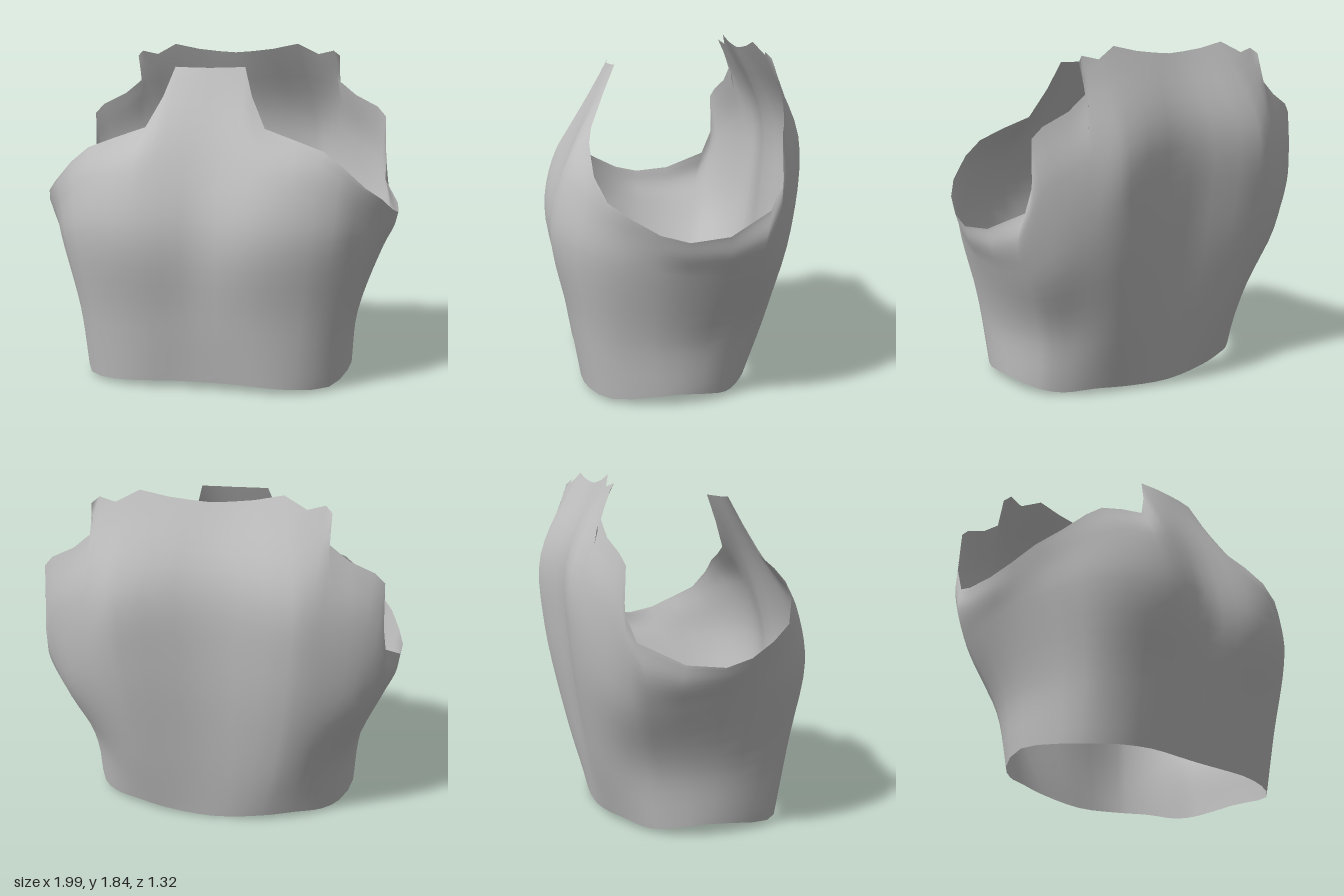
import * as THREE from 'three';

const V = (p) => new THREE.Vector3(...p);
const mirror = (p) => new THREE.Vector3(-p.x, p.y, p.z);

// Upper rim of the left half, from front centre past the armhole to back centre
const rim = [
  [0, 1.71, .31], [.1, 1.712, .305], [.19, 1.715, .29], [.24, 1.56, .36], [.32, 1.4, .43], [.48, 1.345, .455],
  [.63, 1.29, .46], [.73, 1.21, .455], [.84, 1.1, .4], [.92, 1.03, .29], [.97, .96, .16], [.995, .925, .02],
  [.985, .945, -.18], [.9, 1.05, -.4], [.895, 1.2, -.46], [.89, 1.42, -.45], [.84, 1.475, -.47], [.71, 1.54, -.5],
  [.6, 1.63, -.51], [.615, 1.77, -.46], [.58, 1.8, -.435], [.49, 1.78, -.455], [.37, 1.84, -.42], [.22, 1.81, -.42],
  [.1, 1.797, -.42], [0, 1.79, -.42],
].map(V);

// Rim columns at which the lower cross-sections are given
const keys = [0, 2, 4, 6, 8, 11, 13, 15, 18, 22, 25];

const hem = [[0, .04, .49], [.17, .04, .495], [.33, .035, .505], [.5, .025, .475], [.665, .02, .365], [.755, .06, .02],
  [.69, .03, -.19], [.6, .015, -.275], [.46, .03, -.365], [.27, .02, -.425], [0, 0, -.44]];
const waist = [[0, .4, .55], [.18, .4, .565], [.34, .4, .57], [.53, .4, .53], [.69, .38, .425], [.785, .36, .04],
  [.725, .36, -.245], [.645, .36, -.35], [.525, .38, -.46], [.36, .4, -.525], [0, .4, -.505]];
const chest = [[0, .85, .6], [.19, .85, .64], [.36, .85, .655], [.58, .85, .6], [.77, .8, .46], [.92, .74, .02],
  [.865, .7, -.335], [.79, .75, -.46], [.64, .85, -.565], [.43, .95, -.635], [0, .95, -.575]];
const shoulder = [[0, 1.25, .51], [.19, 1.25, .535], [.36, 1.18, .58], [.6, 1.14, .54], [.8, 1, .435], [.975, .85, .02],
  [.93, .9, -.37], [.86, 1.15, -.49], [.65, 1.3, -.588], [.45, 1.37, -.648], [0, 1.4, -.58]];

// Spread a keyed cross-section over all the columns, smooth across the centre line
function spread(section) {
  const points = section.map(V);
  const curve = new THREE.CatmullRomCurve3([mirror(points[1]), ...points, mirror(points.at(-2))]);
  return rim.map((_, i) => {
    let k = 0;
    while (k < keys.length - 2 && i >= keys[k + 1]) k++;
    const t = k + 1 + (i - keys[k]) / (keys[k + 1] - keys[k]);
    return curve.getPoint(t / (keys.length + 1));
  });
}

// Loft the sections up to the rim, mirrored to close the loop
function shellGeometry(rows = 20) {
  const sections = [...[hem, waist, chest, shoulder].map(spread), rim];
  const half = rim.map((_, i) => new THREE.CatmullRomCurve3(sections.map((s) => s[i])).getPoints(rows));
  const columns = [...half, ...half.slice(1, -1).reverse().map((column) => column.map(mirror))];
  const n = columns.length, index = [];
  for (let i = 0; i < n; i++) {
    for (let j = 0; j < rows; j++) {
      const a = i * (rows + 1) + j, b = ((i + 1) % n) * (rows + 1) + j;
      index.push(a, b, b + 1, a, b + 1, a + 1);
    }
  }
  const geometry = new THREE.BufferGeometry().setFromPoints(columns.flat());
  geometry.setIndex(index);
  geometry.computeVertexNormals();
  return geometry;
}

export function createModel() {
  const grey = new THREE.MeshStandardMaterial({ color: 0xc0c0c0, side: THREE.DoubleSide });
  grey.name = 'plain grey';

  // Open torso shell with chest panel, armholes and high back
  const shell = new THREE.Mesh(shellGeometry(), grey);
  shell.name = 'torsoShell';

  const group = new THREE.Group();
  group.name = 'chestArmour';
  group.add(shell);
  return group;
}
